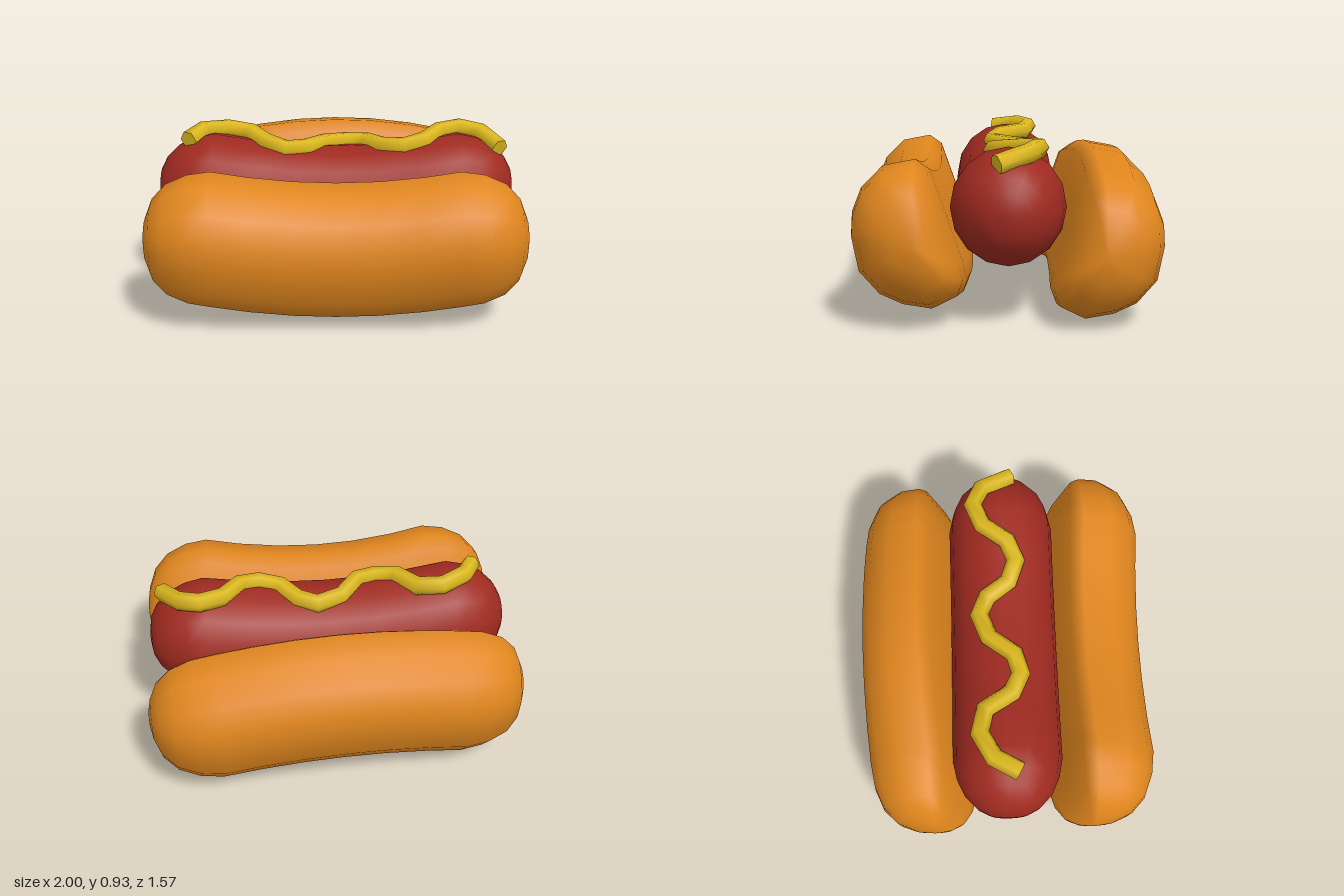
import * as THREE from 'three';

const bunMaterial = new THREE.MeshStandardMaterial({ color: 0xe0861e });
bunMaterial.name = 'toasted bun';
const sausageMaterial = new THREE.MeshStandardMaterial({ color: 0x9f2a20 });
sausageMaterial.name = 'sausage red';
const mustardMaterial = new THREE.MeshStandardMaterial({ color: 0xdcb81e });
mustardMaterial.name = 'mustard yellow';

// Skin a list of rings (running towards +x, each turning from +y to +z) and close both ends.
function loft(rings, sharpEnds = false) {
  const all = sharpEnds ? [rings[0], ...rings, rings[rings.length - 1]] : rings;
  const n = all[0].length, last = all.length - 1;
  const points = all.flat();
  const index = [];
  const middle = (ring) => ring.reduce((s, p) => s.add(p), new THREE.Vector3()).divideScalar(n);
  for (let i = 0; i < last; i++) {
    if (sharpEnds && (i === 0 || i === last - 1)) continue;
    for (let j = 0; j < n; j++) {
      const k = (j + 1) % n, a = i * n + j, b = i * n + k;
      index.push(a, b, a + n, b, b + n, a + n);
    }
  }
  const start = points.length, end = start + 1;
  points.push(middle(all[0]), middle(all[last]));
  for (let j = 0; j < n; j++) {
    const k = (j + 1) % n;
    index.push(start, k, j, end, last * n + j, last * n + k);
  }
  const geometry = new THREE.BufferGeometry().setFromPoints(points);
  geometry.setIndex(index);
  geometry.computeVertexNormals();
  return geometry;
}

// Rounded end: [x, scale]; mirrored to give stations along the whole length.
function stations(end, inner) {
  const half = [...end, ...inner.map((x) => [x, 1])];
  return [...half.map(([x, s]) => [-x, s]), [0, 1], ...half.reverse()];
}

// How far a station is bent: 1 in the middle, 0 at the shoulders.
const sag = (x) => Math.max(0, 1 - (x / 0.65) ** 2);

// Half a bun, its middle bent down (bend 1) or up (bend -1) along the cut face
function bunHalf(bend) {
  // D-shaped section as [z, y], starting at the top
  const section = [
    [0.46, 0.82], [0.62, 0.79], [0.73, 0.68], [0.778, 0.56], [0.785, 0.45], [0.75, 0.27],
    [0.645, 0.15], [0.525, 0.095], [0.375, 0.07], [0.245, 0.135], [0.213, 0.22], [0.232, 0.31],
    [0.31, 0.54], [0.39, 0.77],
  ];
  const end = [[1, 0.12], [0.985, 0.34], [0.945, 0.61], [0.87, 0.82], [0.76, 0.95], [0.64, 1]];
  const rings = stations(end, [0.45, 0.22]).map(([x, s]) => section.map(([z, y]) => {
    const k = sag(x) * bend;
    return new THREE.Vector3(x, 0.44 + (y - 0.44) * s - 0.07 * k, 0.45 + (z - 0.45) * s - 0.025 * k);
  }));
  return loft(rings);
}

function sausage() {
  const end = [[0.972, 0.12], [0.96, 0.36], [0.925, 0.58], [0.86, 0.79], [0.77, 0.93], [0.67, 1]];
  const rings = stations(end, [0.45, 0.22]).map(([x, s]) => Array.from({ length: 16 }, (_, j) => {
    const a = (j / 16) * Math.PI * 2;
    const y = 0.582 - 0.068 * sag(x) + Math.cos(a) * 0.3 * s;
    return new THREE.Vector3(x, y, Math.sin(a) * 0.29 * s);
  }));
  return loft(rings);
}

function mustard() {
  const path = [
    [-0.8, 0.865, 0.06], [-0.73, 0.885, -0.07], [-0.6, 0.875, -0.14], [-0.47, 0.86, -0.11],
    [-0.38, 0.845, 0.03], [-0.27, 0.82, 0.08], [-0.16, 0.82, 0.05], [-0.06, 0.81, -0.08],
    [0.07, 0.805, -0.13], [0.17, 0.815, -0.085], [0.25, 0.825, 0.03], [0.37, 0.835, 0.075],
    [0.48, 0.853, 0.03], [0.57, 0.87, -0.1], [0.69, 0.878, -0.15], [0.8, 0.865, -0.1],
    [0.89, 0.82, 0.06],
  ].map((p) => new THREE.Vector3(...p));
  const rings = path.map((p, i) => {
    const t = path[Math.min(i + 1, path.length - 1)].clone().sub(path[Math.max(i - 1, 0)]).normalize();
    const side = new THREE.Vector3(-t.z, 0, t.x).normalize();
    const up = side.clone().cross(t);
    return Array.from({ length: 6 }, (_, j) => {
      const a = ((j + 0.5) / 6) * Math.PI * 2;
      return p.clone().addScaledVector(up, Math.cos(a) * 0.05).addScaledVector(side, Math.sin(a) * 0.05);
    });
  });
  return loft(rings, true);
}

export function createModel() {
  const group = new THREE.Group();
  group.name = 'hotDog';
  const add = (name, geometry, material) => {
    const mesh = new THREE.Mesh(geometry, material);
    mesh.name = name;
    group.add(mesh);
    return mesh;
  };

  // Two bun halves bent opposite ways, the back one set lower and slightly askew
  add('frontBun', bunHalf(1), bunMaterial);
  const backBun = add('backBun', bunHalf(-1), bunMaterial);
  backBun.rotation.y = Math.PI + 0.035;
  backBun.position.set(0.012, -0.055, 0.025);

  // Filling
  add('sausage', sausage(), sausageMaterial);
  add('mustard', mustard(), mustardMaterial);
  return group;
}
